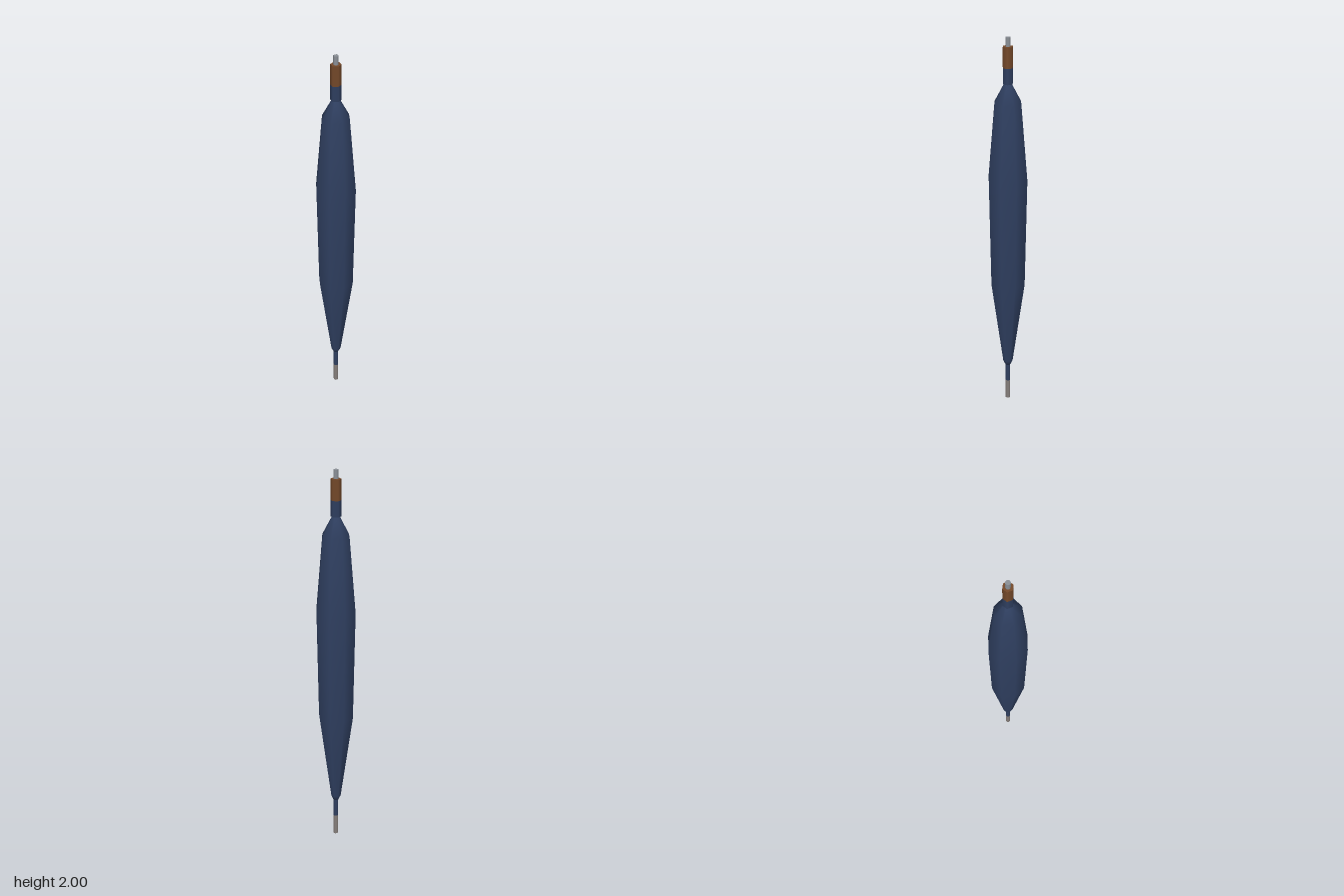
import * as THREE from 'three';

const material = (name, color) => {
  const m = new THREE.MeshStandardMaterial({ color });
  m.name = name;
  return m;
};

export function createModel() {
  const navy = material('navy fabric', 0x2f3f60);
  const brown = material('brown wood', 0x75492a);
  const steel = material('steel', 0x8b9097);
  const tipGrey = material('warm grey', 0x857e7b);

  const model = new THREE.Group();
  model.name = 'closedUmbrella';
  const add = (name, geometry, mat) => {
    const mesh = new THREE.Mesh(geometry, mat);
    mesh.name = name;
    model.add(mesh);
    return mesh;
  };
  // Upright prism between two heights
  const rod = (name, radius, y0, y1, sides, mat) => {
    const mesh = add(name, new THREE.CylinderGeometry(radius, radius, y1 - y0, sides), mat);
    mesh.position.y = (y0 + y1) / 2;
  };

  // Folded canopy: eight-sided spindle, closed at both ends
  const profile = [
    [0, 0.205], [0.013, 0.205], [0.027, 0.235], [0.093, 0.70],
    [0.104, 1.28], [0.07, 1.675], [0.017, 1.775], [0, 1.775],
  ].map(([r, y]) => new THREE.Vector2(r, y));
  add('canopy', new THREE.LatheGeometry(profile, 8), navy);

  // Lower shaft and its bare tip
  rod('lowerShaft', 0.013, 0.11, 0.22, 8, navy);
  rod('lowerTip', 0.013, 0, 0.11, 8, tipGrey);

  // Six-sided handle with a coloured collar, and the rod end above it
  rod('handleCollar', 0.027, 1.77, 1.85, 6, navy);
  rod('handleGrip', 0.027, 1.85, 1.955, 6, brown);
  rod('topRod', 0.013, 1.955, 2, 8, steel);

  return model;
}
